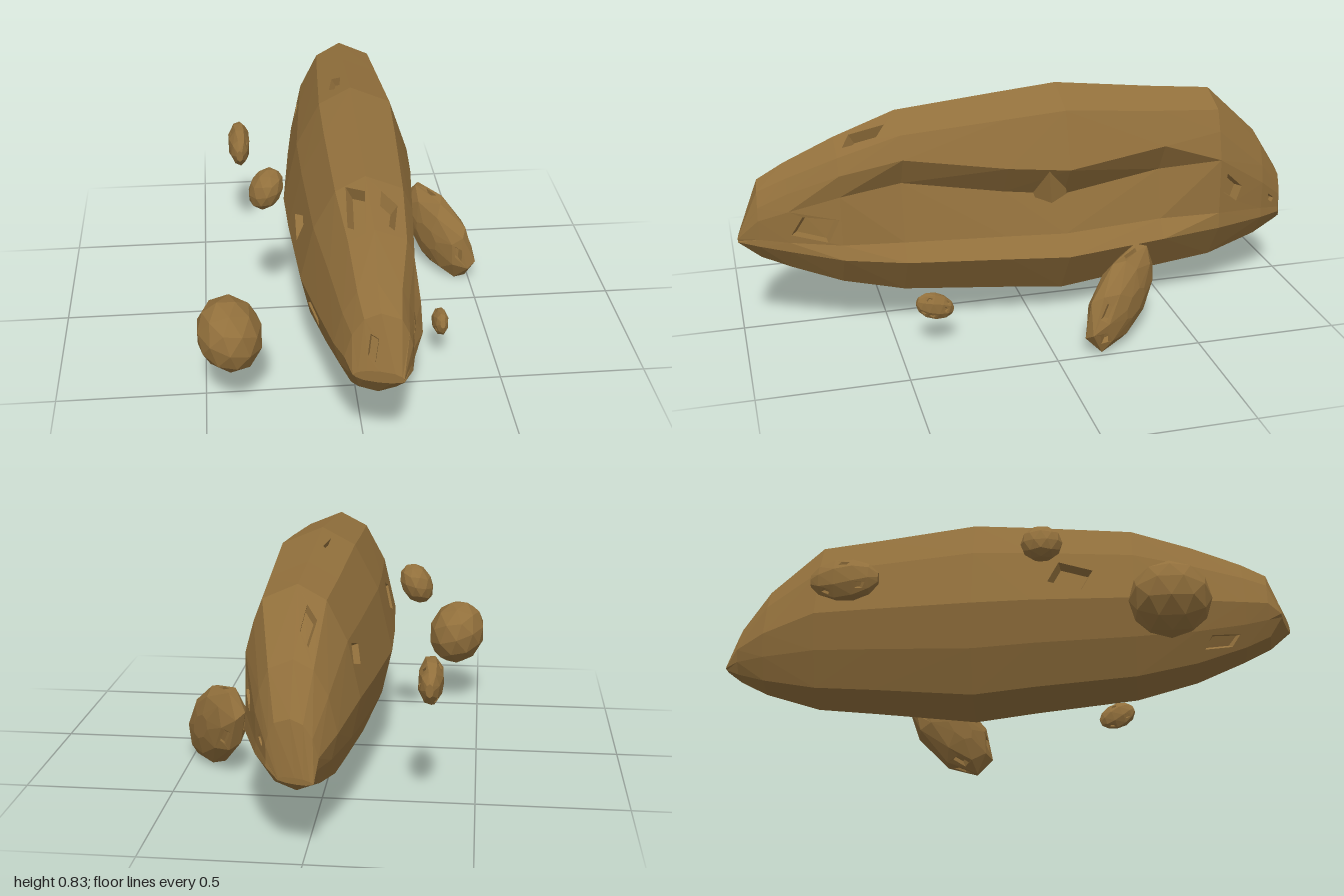
import * as THREE from 'three';

const material = new THREE.MeshStandardMaterial({ color: 0x92703c, flatShading: true, roughness: 1 });

// Skins a row of rings (front to back, counter-clockwise seen from +z).
// Each pit [ring, side, s0, s1, t0, t1, depth] sinks a patch of one cell.
function skin(rings, pits) {
  const pos = [];
  const tri = (...pts) => pts.forEach((p) => pos.push(p.x, p.y, p.z));
  const quad = (a, b, c, d) => {
    // fold along the diagonal that bulges outward
    const normal = b.clone().sub(a).cross(c.clone().sub(a));
    if (normal.dot(d.clone().sub(a)) <= 0) { tri(a, b, c); tri(a, c, d); } else { tri(a, b, d); tri(b, c, d); }
  };
  const n = rings[0].length;
  for (let i = 0; i < rings.length - 1; i++) {
    for (let j = 0; j < n; j++) {
      const k = (j + 1) % n;
      const a = rings[i][j], b = rings[i][k], c = rings[i + 1][k], d = rings[i + 1][j];
      const pit = pits.find((p) => p[0] === i && p[1] === j);
      if (!pit) { quad(a, d, c, b); continue; }
      const [, , s0, s1, t0, t1, depth] = pit;
      const at = (s, t) => a.clone().lerp(d, s).lerp(b.clone().lerp(c, s), t);
      const inward = c.clone().sub(a).cross(b.clone().sub(d)).normalize().multiplyScalar(-depth);
      const s = (f) => s0 + (s1 - s0) * f, t = (f) => t0 + (t1 - t0) * f;
      const outer = [a, d, c, b];
      const rim = [at(s(0), t(0.3)), at(s(0.75), t(0)), at(s(1), t(0.7)), at(s(0.25), t(1))];
      const floor = rim.map((p) => p.clone().lerp(at(s(0.5), t(0.5)), 0.2).add(inward));
      for (let q = 0; q < 4; q++) {
        const r = (q + 1) % 4;
        quad(outer[q], outer[r], rim[r], rim[q]);
        quad(rim[q], rim[r], floor[r], floor[q]);
      }
      quad(...floor);
    }
  }
  // end caps
  [rings[0], rings[rings.length - 1]].forEach((ring, end) => {
    const mid = ring.reduce((sum, p) => sum.add(p), new THREE.Vector3()).divideScalar(n);
    ring.forEach((p, j) => {
      const q = ring[(j + 1) % n];
      if (end) tri(mid, q, p); else tri(mid, p, q);
    });
  });
  const g = new THREE.BufferGeometry();
  g.setAttribute('position', new THREE.Float32BufferAttribute(pos, 3));
  g.computeVertexNormals();
  return g;
}

// Outline of the main body in a unit box; the +x side is gouged below the lip
function outline(lip, depth) {
  const side = (v) => 1 - 0.5 * v * v;
  const inner = lip - 0.3;
  return [
    [0, -1], [0.53, -0.87], [1, -0.45], [0.97 - depth * 0.5, -0.28],
    [side(inner) - depth, inner], [side(lip), lip], [0.65, 0.85], [0.05, 1],
    [-0.43, 0.85], [-0.78, 0.46], [-1, -0.1], [-0.85, -0.5], [-0.57, -0.87],
  ];
}

function mainBody() {
  // z, left x, right x, bottom y, top y, lip height, gouge depth, slant of z along x
  const stations = [
    [0.977, -0.055, 0.095, 0.365, 0.405, 0.4, 0, 0.3],
    [0.92, -0.075, 0.13, 0.29, 0.57, 0.5, 0, 0.1],
    [0.83, -0.1, 0.15, 0.24, 0.62, 0.6, 0, 0],
    [0.66, -0.135, 0.2, 0.17, 0.7, 0.64, 0.22, 0],
    [0.45, -0.175, 0.225, 0.11, 0.775, 0.62, 0.4, 0],
    [0.1, -0.195, 0.25, 0.075, 0.81, 0.43, 0.42, 0],
    [-0.11, -0.2, 0.26, 0.05, 0.83, 0.36, 0.42, 0],
    [-0.46, -0.165, 0.24, 0.095, 0.79, 0.52, 0.4, 0],
    [-0.67, -0.14, 0.225, 0.12, 0.77, 0.63, 0, 0],
    [-0.86, -0.09, 0.16, 0.18, 0.59, 0.5, 0, 0],
    [-0.955, -0.045, 0.115, 0.23, 0.44, 0.5, 0, 0.1],
    [-0.985, -0.035, 0.075, 0.25, 0.27, 0.4, 0, 0.27],
  ];
  const rings = stations.map(([z, x0, x1, y0, y1, lip, depth, slant]) =>
    outline(lip, depth).map(([u, v]) => new THREE.Vector3(
      (x0 + x1) / 2 + u * (x1 - x0) / 2, (y0 + y1) / 2 + v * (y1 - y0) / 2, z + slant * u * (x1 - x0) / 2)));
  return skin(rings, [
    [3, 7, 0.02, 0.98, 0.1, 0.9, 0.04], [3, 6, 0.05, 0.8, 0.2, 0.8, 0.04],
    [0, 7, 0.15, 0.7, 0.1, 0.9, 0.015], [2, 3, 0.03, 0.97, 0.03, 0.75, 0.03],
    [8, 3, 0.05, 0.5, 0.25, 0.8, 0.03], [9, 3, 0.3, 0.7, 0.3, 0.7, 0.015],
    [4, 9, 0.4, 0.85, 0.2, 0.8, 0.03], [3, 10, 0.1, 0.9, 0.2, 0.8, 0.03],
    [2, 11, 0.1, 0.9, 0.2, 0.8, 0.02], [7, 9, 0.45, 0.95, 0.1, 0.55, 0.03],
    [6, 7, 0.15, 0.55, 0.2, 0.65, 0.025], [8, 7, 0.2, 0.75, 0.2, 0.8, 0.02],
    [6, 0, 0.2, 0.8, 0.1, 0.9, 0.025],
  ]);
}

// Pitted boulder of unit radius with its poles along z
function pittedBoulder() {
  const rings = [0.3, 0.8, 1.32, 1.84, 2.36, 2.84].map((lat, i) =>
    Array.from({ length: 8 }, (_, j) => {
      const a = (j + i * 0.2) / 8 * Math.PI * 2;
      const r = 1.03 + 0.02 * Math.sin(i * 5.1 + j * 3.7);
      return new THREE.Vector3(Math.cos(a) * Math.sin(lat) * r, Math.sin(a) * Math.sin(lat) * r, Math.cos(lat) * 1.03);
    }));
  return skin(rings, [
    [1, 0], [3, 0], [2, 2], [1, 4], [3, 4], [2, 6], [1, 6], [3, 7],
  ].map(([i, j]) => [i, j, 0.2, 0.8, 0.2, 0.8, 0.12]));
}

export function createModel() {
  const group = new THREE.Group();
  const add = (name, geometry) => {
    const mesh = new THREE.Mesh(geometry, material);
    mesh.name = name;
    group.add(mesh);
    return mesh;
  };

  add('asteroidBody', mainBody());

  // Rocky stub under the lip of the gouge
  const stub = add('gougeStub', new THREE.BoxGeometry(0.08, 0.13, 0.08));
  stub.position.set(0.175, 0.53, -0.055);
  stub.rotation.set(0.15, 0.6, -0.1);

  // Loose boulders: name, centre, radii, rotation, shape
  const plain = new THREE.IcosahedronGeometry(1.03, 1);
  const pitted = pittedBoulder();
  [
    ['largeBoulder', [-0.413, 0.282, 0.56], [0.105, 0.122, 0.13], [0, 0, 0.3], plain],
    ['upperBoulder', [-0.27, 0.58, 0.14], [0.054, 0.074, 0.07], [0, 0, -0.5], plain],
    ['rearBoulder', [-0.35, 0.43, -0.518], [0.042, 0.074, 0.116], [0, 0, 0], pitted],
    ['smallBoulder', [0.305, 0.163, 0.377], [0.028, 0.046, 0.066], [-0.4, 0, 0], pitted],
    ['longBoulder', [0.395, 0.158, -0.247], [0.205, 0.125, 0.067], [0, -0.915, -0.663], pitted],
  ].forEach(([name, centre, radii, turn, shape]) => {
    const mesh = add(name, shape);
    mesh.position.set(...centre);
    mesh.scale.set(...radii);
    mesh.rotation.set(...turn, 'YXZ');
  });
  return group;
}
